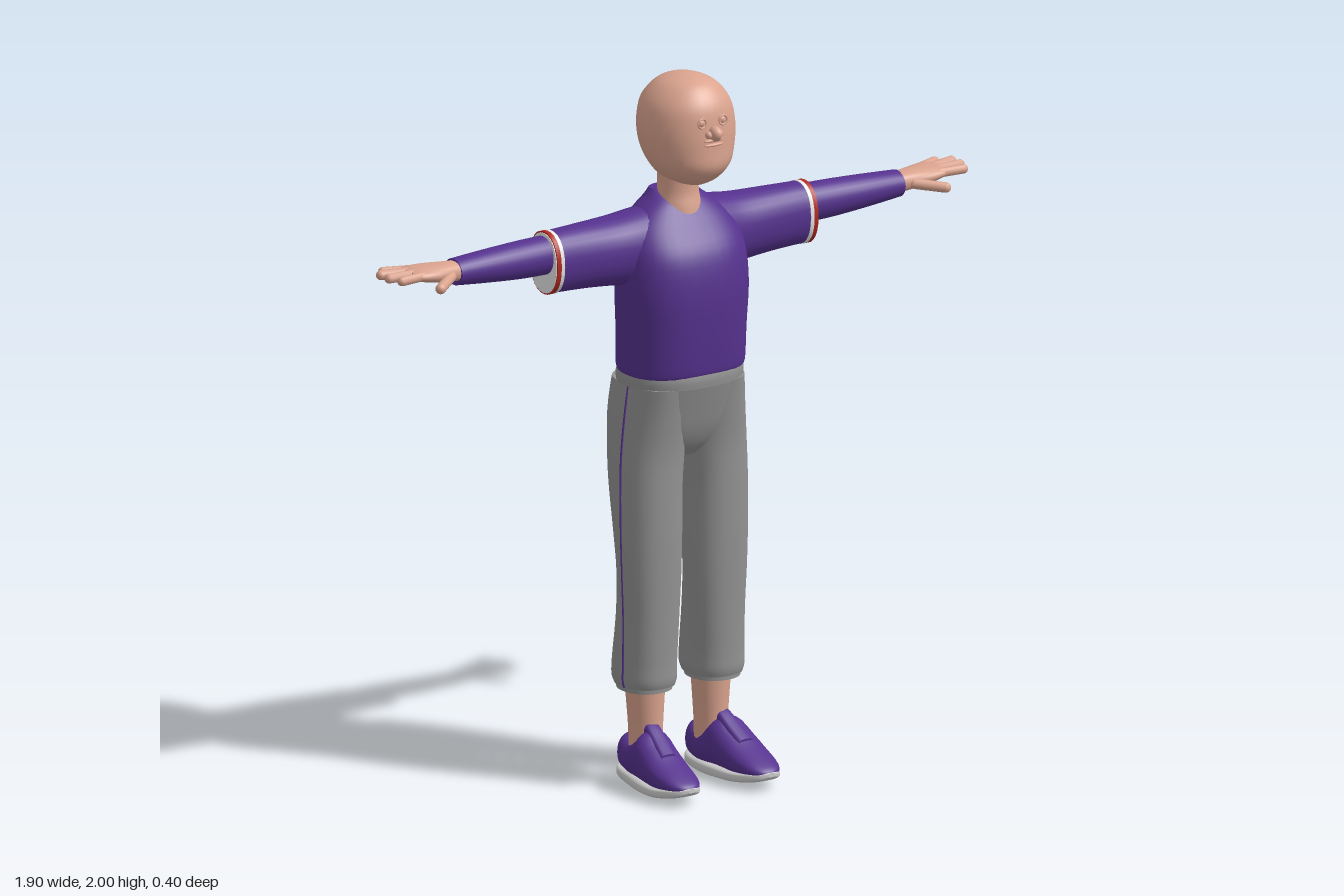
import * as THREE from 'three';

const mat = (name, color) => Object.assign(new THREE.MeshStandardMaterial({ color }), { name });

// Smooth loft. Rows are [t, uMin, uMax, vMin, vMax] with t ascending along the axis;
// (u, v) is (y, z) for axis x, (z, x) for axis y and (x, y) for axis z.
function loft(rows, axis, power = 1, sides = 28, steps = 4) {
  const columns = [0, 1, 2, 3, 4].map(j => new THREE.SplineCurve(rows.map((r, i) => new THREE.Vector2(i, r[j]))));
  const rings = (rows.length - 1) * steps;
  const pos = [], index = [];
  const put = (t, u, v) => pos.push(...(axis === 'x' ? [t, u, v] : axis === 'y' ? [v, t, u] : [u, v, t]));
  const bend = c => Math.sign(c) * Math.abs(c) ** power;
  const ring = i => {
    const [t, u0, u1, v0, v1] = columns.map(c => c.getPoint(i / rings).y);
    for (let k = 0; k < sides; k++) {
      const a = k / sides * Math.PI * 2;
      put(t, (u0 + u1) / 2 + (u1 - u0) / 2 * bend(Math.cos(a)), (v0 + v1) / 2 + (v1 - v0) / 2 * bend(Math.sin(a)));
    }
    return [t, (u0 + u1) / 2, (v0 + v1) / 2];
  };
  for (let i = 0; i <= rings; i++) ring(i);
  for (let i = 0; i < rings; i++) for (let k = 0; k < sides; k++) {
    const a = i * sides + k, b = i * sides + (k + 1) % sides;
    index.push(a, b, b + sides, a, b + sides, a + sides);
  }
  // end caps with their own corners, so that the rims stay sharp
  for (const end of [0, rings]) {
    const base = pos.length / 3;
    put(...ring(end));
    for (let k = 0; k < sides; k++) {
      const a = base + k, b = base + (k + 1) % sides;
      index.push(...(end ? [a, b, base + sides] : [b, a, base + sides]));
    }
  }
  const g = new THREE.BufferGeometry();
  g.setAttribute('position', new THREE.Float32BufferAttribute(pos, 3));
  g.setIndex(index);
  g.computeVertexNormals();
  return g;
}

function ball(x, y, z, rx, ry, rz) {
  return new THREE.SphereGeometry(1, 16, 12).scale(rx, ry, rz).translate(x, y, z);
}

// Rounded finger between two points
function finger(a, b, r) {
  const p = new THREE.Vector3(...a), q = new THREE.Vector3(...b), d = q.clone().sub(p);
  const turn = new THREE.Quaternion().setFromUnitVectors(new THREE.Vector3(0, 1, 0), d.clone().normalize());
  const mid = p.add(q).multiplyScalar(0.5);
  return new THREE.CapsuleGeometry(r, d.length() - r, 5, 10).applyQuaternion(turn).translate(mid.x, mid.y, mid.z);
}

function mirrored(geometry) {
  const g = geometry.clone().scale(-1, 1, 1), ix = g.index;
  for (let i = 0; i < ix.count; i += 3) {
    const a = ix.getX(i);
    ix.setX(i, ix.getX(i + 1));
    ix.setX(i + 1, a);
  }
  return g;
}

export function createModel() {
  const model = new THREE.Group();
  model.name = 'figure';
  const skin = mat('skin', 0xdba48f), purple = mat('purple cloth', 0x56328f), grey = mat('grey cloth', 0x939393);
  const white = mat('white trim', 0xf4f4f4), red = mat('red trim', 0xb02a22), sole = mat('sole grey', 0xcfcfcf);

  const add = (name, geometry, material) => {
    const m = new THREE.Mesh(geometry, material);
    m.name = name;
    model.add(m);
  };
  const pair = (name, geometry, material) => {
    add(name + 'Left', geometry, material);
    add(name + 'Right', mirrored(geometry), material);
  };
  // section of a part centred on x = 0
  const mid = (y, z0, z1, w) => [y, z0, z1, -w, w];

  // Head, neck and face
  add('head', loft([
    mid(1.702, -0.08, 0.055, 0.04), mid(1.722, -0.108, 0.09, 0.075), mid(1.76, -0.13, 0.118, 0.107),
    mid(1.81, -0.147, 0.119, 0.126), mid(1.87, -0.153, 0.115, 0.131), mid(1.93, -0.146, 0.103, 0.117),
    mid(1.975, -0.11, 0.07, 0.08), mid(1.994, -0.07, 0.03, 0.04), mid(2, -0.025, -0.015, 0.005),
  ], 'y', 0.95, 32), skin);
  add('neck', loft([
    mid(1.54, -0.13, 0.02, 0.075), mid(1.62, -0.12, 0.008, 0.065), mid(1.67, -0.11, -0.002, 0.058), mid(1.76, -0.11, 0.005, 0.06),
  ], 'y'), skin);
  add('nose', ball(0, 1.863, 0.123, 0.017, 0.021, 0.024), skin);
  pair('nostril', ball(0.017, 1.86, 0.117, 0.011, 0.011, 0.013), skin);
  pair('eye', ball(0.034, 1.893, 0.105, 0.011, 0.011, 0.008), skin);
  pair('eyelid', new THREE.TorusGeometry(0.013, 0.003, 6, 20).translate(0.034, 1.893, 0.11), skin);
  for (const y of [1.843, 1.83]) add('lip', ball(0, y, 0.115, 0.032, 0.005, 0.009), skin);

  // Shirt body
  add('shirt', loft([
    mid(1.17, -0.172, 0.088, 0.177), mid(1.19, -0.18, 0.093, 0.18), mid(1.28, -0.18, 0.099, 0.181),
    mid(1.4, -0.176, 0.1, 0.188), mid(1.5, -0.172, 0.082, 0.184), mid(1.57, -0.162, 0.038, 0.165),
    mid(1.615, -0.148, 0.004, 0.125), mid(1.645, -0.138, -0.022, 0.085), mid(1.667, -0.125, -0.06, 0.065),
  ], 'y', 0.82, 36), purple);

  // Arms: wide sleeve, striped hem, fitted undersleeve
  pair('sleeve', loft([
    [0.06, 1.43, 1.635, -0.15, 0.02], [0.13, 1.41, 1.622, -0.168, 0.012], [0.2, 1.42, 1.612, -0.17, 0.002],
    [0.3, 1.43, 1.61, -0.155, -0.004], [0.406, 1.436, 1.609, -0.138, -0.008],
  ], 'x', 0.92), purple);
  pair('sleeveWhiteStripe', loft([
    [0.404, 1.434, 1.611, -0.14, -0.006], [0.415, 1.434, 1.611, -0.14, -0.006],
  ], 'x', 0.92, 28, 1), white);
  pair('sleeveRedStripe', loft([
    [0.415, 1.434, 1.611, -0.14, -0.006], [0.428, 1.434, 1.611, -0.14, -0.006],
  ], 'x', 0.92, 28, 1), red);
  pair('sleeveLining', loft([
    [0.426, 1.438, 1.607, -0.136, -0.01], [0.43, 1.438, 1.607, -0.136, -0.01],
  ], 'x', 0.92, 28, 1), white);
  pair('undersleeve', loft([
    [0.4, 1.49, 1.598, -0.128, -0.024], [0.5, 1.492, 1.597, -0.126, -0.022],
    [0.62, 1.502, 1.593, -0.118, -0.022], [0.728, 1.513, 1.587, -0.11, -0.026],
  ], 'x'), purple);

  // Hands
  pair('palm', loft([
    [0.71, 1.525, 1.58, -0.1, -0.034], [0.76, 1.53, 1.583, -0.108, -0.026], [0.81, 1.537, 1.583, -0.125, -0.02],
    [0.85, 1.546, 1.581, -0.132, -0.022], [0.872, 1.553, 1.576, -0.125, -0.03],
  ], 'x', 0.85, 20), skin);
  const fingers = [
    [[0.82, 1.563, -0.113], [0.912, 1.562, -0.15], 0.012], [[0.84, 1.565, -0.09], [0.943, 1.566, -0.113], 0.014],
    [[0.84, 1.566, -0.066], [0.943, 1.566, -0.072], 0.014], [[0.84, 1.565, -0.04], [0.928, 1.565, -0.032], 0.013],
    [[0.755, 1.552, -0.036], [0.835, 1.54, 0.022], 0.015],
  ];
  for (const f of fingers) pair('finger', finger(...f), skin);

  // Trousers
  add('waistband', loft([
    mid(1.138, -0.186, 0.091, 0.177), mid(1.16, -0.186, 0.092, 0.178), mid(1.182, -0.177, 0.088, 0.174),
  ], 'y', 0.85, 32), grey);
  add('hips', loft([
    mid(0.925, -0.11, 0.0, 0.05), mid(0.96, -0.155, 0.03, 0.12), mid(1.01, -0.18, 0.053, 0.18),
    mid(1.08, -0.194, 0.072, 0.183), mid(1.145, -0.183, 0.088, 0.174),
  ], 'y', 0.85, 32), grey);
  const leg = [
    [0.288, -0.14, 0.032, 0.034, 0.187], [0.31, -0.148, 0.037, 0.029, 0.192], [0.36, -0.146, 0.037, 0.029, 0.191],
    [0.48, -0.127, 0.04, 0.026, 0.19], [0.6, -0.118, 0.044, 0.022, 0.194], [0.72, -0.133, 0.047, 0.018, 0.198],
    [0.85, -0.157, 0.048, 0.014, 0.2], [0.95, -0.172, 0.05, 0.006, 0.197], [1.05, -0.188, 0.062, 0.004, 0.187],
    [1.14, -0.182, 0.075, 0.01, 0.174],
  ];
  pair('trouserLeg', loft(leg, 'y', 0.87), grey);
  pair('trouserCuff', loft([[0.275, -0.132, 0.024, 0.04, 0.183], [0.3, -0.132, 0.024, 0.04, 0.183]], 'y', 0.9, 28, 1), grey);
  pair('sideStripe', loft(leg.map(([y, , , , x]) => [y, -0.043, -0.037, x - 0.005, x + 0.002]), 'y', 0.5, 8), purple);
  pair('ankle', loft([
    [0.06, -0.105, 0.0, 0.062, 0.155], [0.15, -0.105, -0.004, 0.062, 0.152], [0.3, -0.114, 0.002, 0.052, 0.164],
  ], 'y'), skin);

  // Shoes
  pair('shoe', loft([
    [-0.138, 0.09, 0.135, 0.04, 0.095], [-0.12, 0.068, 0.155, 0.03, 0.132], [-0.075, 0.06, 0.165, 0.022, 0.122],
    [-0.035, 0.058, 0.174, 0.02, 0.142], [0.0, 0.06, 0.184, 0.02, 0.166], [0.05, 0.064, 0.19, 0.02, 0.136],
    [0.1, 0.068, 0.192, 0.022, 0.106], [0.16, 0.08, 0.182, 0.03, 0.078], [0.19, 0.1, 0.162, 0.035, 0.062],
    [0.199, 0.12, 0.142, 0.04, 0.052],
  ], 'z', 0.9), purple);
  pair('tongue', loft([
    [-0.028, 0.095, 0.135, 0.12, 0.18], [-0.008, 0.093, 0.14, 0.12, 0.183], [0.04, 0.096, 0.146, 0.1, 0.151], [0.085, 0.103, 0.152, 0.08, 0.121],
  ], 'z', 0.6, 16), purple);
  pair('sole', loft([
    [-0.142, 0.092, 0.135, 0.028, 0.046], [-0.12, 0.066, 0.157, 0.01, 0.044], [-0.05, 0.06, 0.17, 0.0, 0.04],
    [0.03, 0.062, 0.188, 0.002, 0.04], [0.1, 0.066, 0.194, 0.008, 0.042], [0.16, 0.078, 0.184, 0.02, 0.05],
    [0.19, 0.098, 0.164, 0.03, 0.053], [0.201, 0.12, 0.142, 0.04, 0.052],
  ], 'z', 0.6), sole);

  return model;
}
